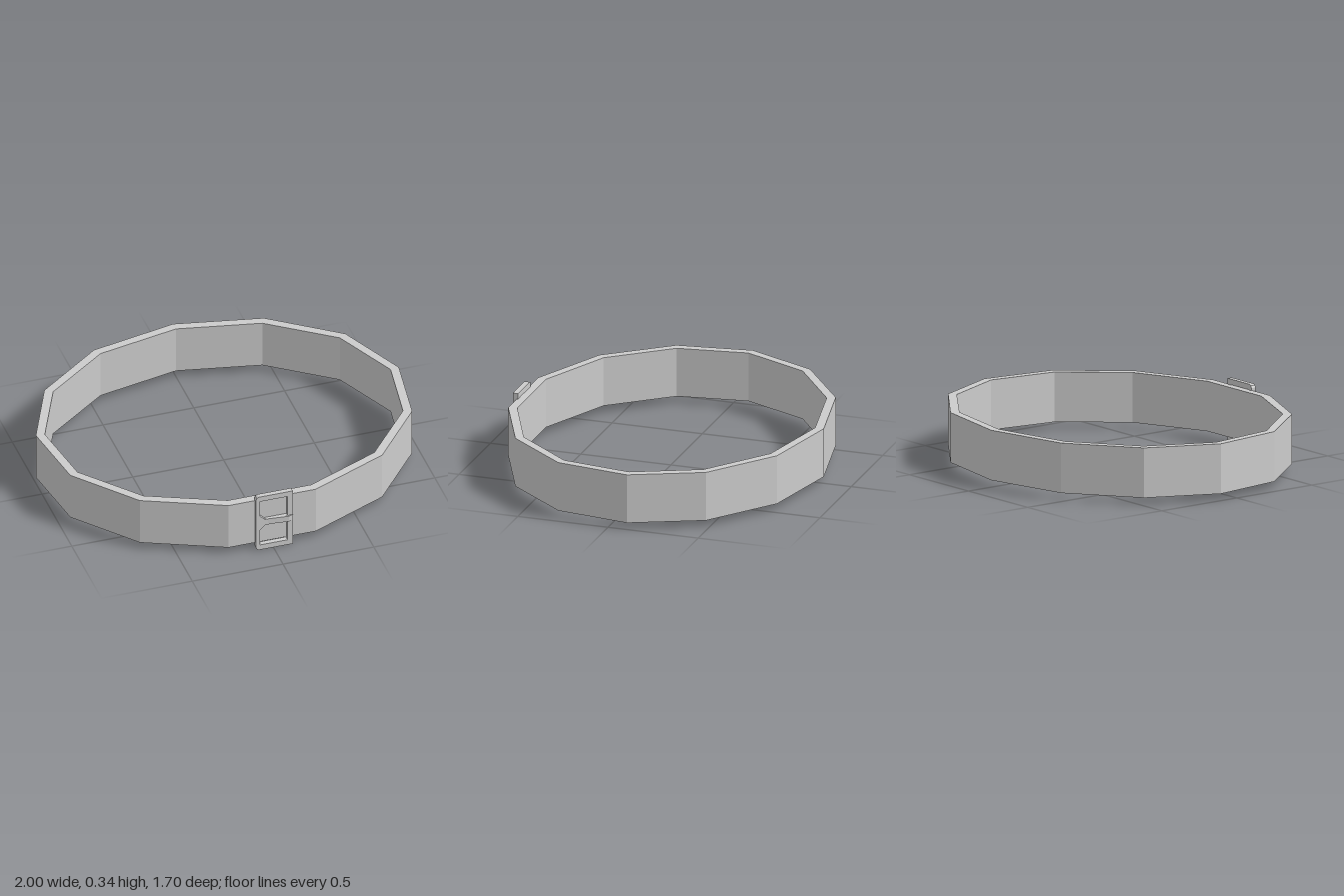
import * as THREE from 'three';

const material = new THREE.MeshStandardMaterial({ color: 0xcccccc, flatShading: true });

function addPart(group, name, geometry) {
  const mesh = new THREE.Mesh(geometry, material);
  mesh.name = name;
  group.add(mesh);
}

const points = (list) => list.map(([x, y]) => new THREE.Vector2(x, y));
const extrude = (shape, depth) =>
  new THREE.ExtrudeGeometry(shape, { depth, bevelEnabled: false });

// Thirteen-sided oval with a corner at the back and a flat side in front
function oval(rx, rz, sides = 13) {
  return Array.from({ length: sides }, (_, i) => {
    const a = (i / sides) * Math.PI * 2;
    return new THREE.Vector2(rx * Math.sin(a), -0.003 - rz * Math.cos(a));
  });
}

export function createModel() {
  const belt = new THREE.Group();
  belt.name = 'belt';

  // Strap: oval ring, extruded downwards
  const ring = new THREE.Shape(oval(1.007, 0.845));
  ring.holes.push(new THREE.Path(oval(0.959, 0.797)));
  addPart(belt, 'strap', extrude(ring, 0.268).rotateX(Math.PI / 2).translate(0, 0.305, 0));

  const buckle = new THREE.Group();
  buckle.name = 'buckle';
  belt.add(buckle);

  // Frame: clipped corners on one side, two windows mirrored about the middle
  const frame = new THREE.Shape(points([
    [-0.08, 0], [0.107, 0], [0.107, 0.337], [-0.08, 0.337],
    [-0.091, 0.331], [-0.096, 0.319], [-0.096, 0.018], [-0.091, 0.006],
  ]));
  const mid = 0.169;
  for (const s of [1, -1]) {
    frame.holes.push(new THREE.Path(points([
      [-0.075, mid + s * 0.138], [0.078, mid + s * 0.138], [0.078, mid + s * 0.017],
      [-0.045, mid + s * 0.017], [-0.075, mid + s * 0.046],
    ])));
  }
  addPart(buckle, 'buckleFrame', extrude(frame, 0.028).translate(0, 0, 0.81));

  // Prong: thin bent strip, its side profile drawn in x and z
  const prong = new THREE.Shape(points([
    [-0.04, 0.83], [0.08, 0.842], [0.105, 0.833],
    [0.107, 0.839], [0.082, 0.849], [-0.04, 0.837],
  ]));
  addPart(buckle, 'prong', extrude(prong, 0.034).rotateX(Math.PI / 2).translate(0, 0.188, 0));

  return belt;
}
